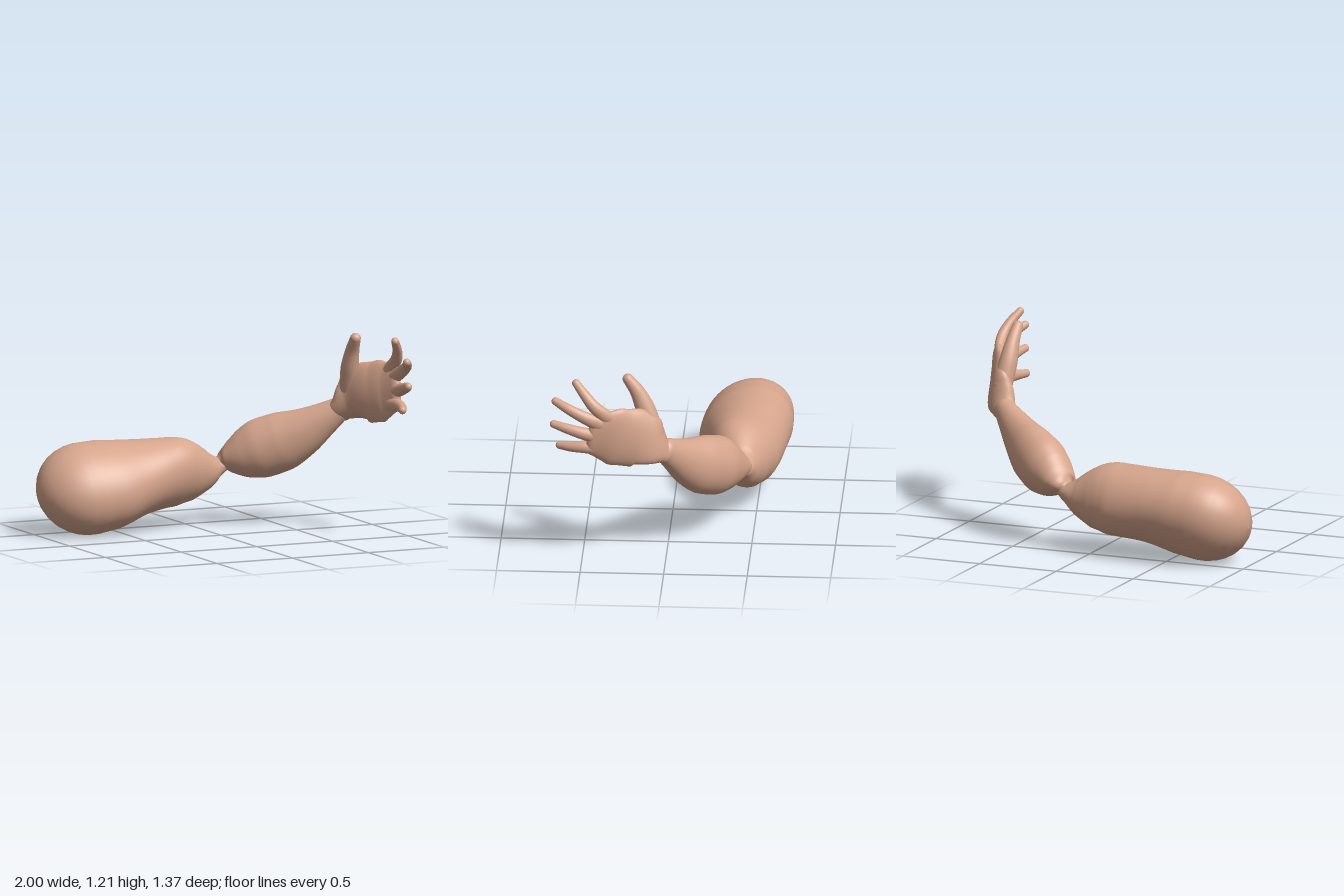
import * as THREE from 'three';

const skin = new THREE.MeshStandardMaterial({ color: 0xd6a58c });
skin.name = 'skin';

// Smooth limb through sections [x, y, z, half height, half width, lean], with domed ends.
// Lean turns the section into a slanted oval of the same height and width.
function limb(name, sections, { up = [0, 1, 0], sides = 32, startDome, endDome } = {}) {
  const path = new THREE.CatmullRomCurve3(sections.map(s => new THREE.Vector3(s[0], s[1], s[2])));
  const shape = new THREE.CatmullRomCurve3(sections.map(s => new THREE.Vector3(s[3], s[4], s[5] ?? 0)));
  const upDir = new THREE.Vector3(...up);
  const steps = (sections.length - 1) * 6, dome = 8;
  const positions = [], index = [];
  let rings = 0;

  function ring(t, angle, length) {
    const tangent = path.getTangent(t), r = shape.getPoint(t);
    const side = tangent.clone().cross(upDir).normalize();
    const rise = side.clone().cross(tangent).normalize();
    const c = path.getPoint(t).addScaledVector(tangent, (length ?? Math.min(r.x, r.y)) * Math.sin(angle));
    const k = Math.max(Math.cos(angle), 0.01);
    for (let j = 0; j < sides; j++) {
      const a = j / sides * Math.PI * 2;
      const p = c.clone()
        .addScaledVector(rise, Math.cos(a) * r.x * k)
        .addScaledVector(side, Math.sin(a + r.z) * r.y * k);
      positions.push(p.x, p.y, p.z);
    }
    rings++;
  }

  for (let d = dome; d > 0; d--) ring(0, -d / dome * Math.PI / 2, startDome);
  for (let i = 0; i <= steps; i++) ring(i / steps, 0);
  for (let d = 1; d <= dome; d++) ring(1, d / dome * Math.PI / 2, endDome);

  for (let i = 0; i < rings - 1; i++) {
    for (let j = 0; j < sides; j++) {
      const n = (j + 1) % sides;
      const a = i * sides + j, b = i * sides + n;
      index.push(a, b, a + sides, b, b + sides, a + sides);
    }
  }
  const geometry = new THREE.BufferGeometry();
  geometry.setAttribute('position', new THREE.Float32BufferAttribute(positions, 3));
  geometry.setIndex(index);
  geometry.computeVertexNormals();
  const mesh = new THREE.Mesh(geometry, skin);
  mesh.name = name;
  return mesh;
}

export function createModel() {
  const arm = new THREE.Group();
  arm.name = 'arm';

  // Upper arm, broad and rounded at the shoulder, pinched at the elbow
  arm.add(limb('upperArm', [
    [-0.7, 0.271, -0.409, 0.271, 0.277, -0.18],
    [-0.57, 0.288, -0.408, 0.263, 0.281, -0.18],
    [-0.4, 0.313, -0.415, 0.232, 0.26, -0.1],
    [-0.2, 0.33, -0.42, 0.215, 0.223, 0.08],
    [-0.1, 0.334, -0.418, 0.21, 0.194, 0.14],
    [0, 0.33, -0.418, 0.18, 0.154, 0.14],
    [0.1, 0.333, -0.42, 0.122, 0.103, 0.08],
    [0.17, 0.345, -0.42, 0.065, 0.07, 0],
    [0.22, 0.355, -0.41, 0.035, 0.045, 0]
  ], { sides: 48, startDome: 0.3 }));

  // Forearm, swelling past the elbow and narrowing to the wrist
  arm.add(limb('forearm', [
    [0.185, 0.38, -0.42, 0.03, 0.045],
    [0.215, 0.39, -0.41, 0.063, 0.085],
    [0.25, 0.402, -0.383, 0.1, 0.107],
    [0.31, 0.424, -0.338, 0.147, 0.128],
    [0.4, 0.462, -0.278, 0.18, 0.143],
    [0.5, 0.508, -0.204, 0.178, 0.133],
    [0.6, 0.57, -0.124, 0.145, 0.107],
    [0.7, 0.648, -0.05, 0.103, 0.08],
    [0.77, 0.705, 0, 0.077, 0.06]
  ], { sides: 40 }));

  // Hand
  const hand = new THREE.Group();
  hand.name = 'hand';
  arm.add(hand);
  hand.add(limb('palm', [
    [0.785, 0.712, 0.02, 0.073, 0.065, 0.35],
    [0.832, 0.77, 0.075, 0.13, 0.072, 0.35],
    [0.862, 0.82, 0.15, 0.175, 0.066, 0.2],
    [0.9, 0.84, 0.24, 0.182, 0.056, -0.1],
    [0.934, 0.86, 0.33, 0.173, 0.048, -0.35],
    [0.953, 0.875, 0.41, 0.138, 0.036, -0.35]
  ], { sides: 40, endDome: 0.05 }));

  hand.add(limb('thumb', [
    [0.815, 0.84, 0.07, 0.06, 0.06],
    [0.798, 0.97, 0.115, 0.056, 0.06],
    [0.79, 1.09, 0.168, 0.041, 0.045],
    [0.783, 1.17, 0.225, 0.032, 0.033]
  ], { up: [1, 0, 0], sides: 20 }));

  // Four fingers spreading from inside the palm, sharing one taper
  const taper = [[0.022, 0.04], [0.032, 0.045], [0.034, 0.038], [0.029, 0.031], [0.023, 0.024]];
  const fingers = {
    indexFinger: [[0.915, 0.92, 0.27], [0.95, 0.985, 0.34], [0.962, 1.055, 0.415], [0.942, 1.12, 0.472], [0.9, 1.185, 0.53]],
    middleFinger: [[0.925, 0.9, 0.3], [0.957, 0.945, 0.385], [0.972, 0.992, 0.475], [0.96, 1.038, 0.57], [0.92, 1.073, 0.652]],
    ringFinger: [[0.925, 0.84, 0.31], [0.95, 0.862, 0.4], [0.96, 0.883, 0.48], [0.952, 0.908, 0.575], [0.925, 0.927, 0.662]],
    littleFinger: [[0.915, 0.78, 0.31], [0.935, 0.785, 0.4], [0.943, 0.79, 0.48], [0.93, 0.785, 0.56], [0.903, 0.782, 0.628]]
  };
  for (const [name, points] of Object.entries(fingers)) {
    hand.add(limb(name, points.map((p, i) => [...p, ...taper[i]]), { up: [1, 0, 0], sides: 20 }));
  }
  return arm;
}
